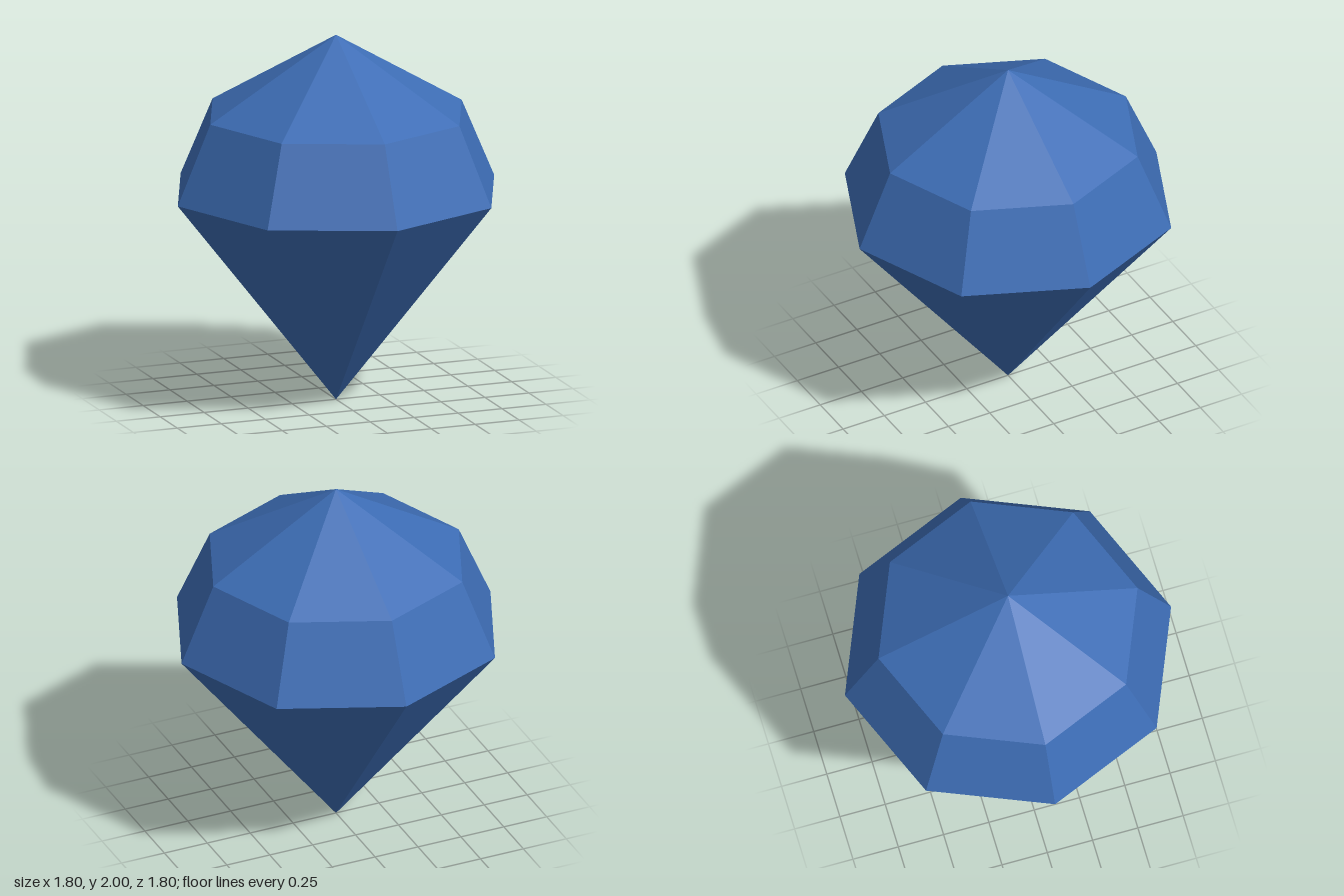
import * as THREE from 'three';

const SIDES = 8;

export function createModel() {
  const gem = new THREE.Group();
  gem.name = 'gem';

  const blue = new THREE.MeshStandardMaterial({ color: 0x3d6db5, flatShading: true });
  blue.name = 'sapphire blue';

  // One ring of facets between two heights
  function facets(name, bottomRadius, bottomY, topRadius, topY) {
    const geometry = new THREE.CylinderGeometry(topRadius, bottomRadius, topY - bottomY, SIDES, 1, true);
    const mesh = new THREE.Mesh(geometry, blue);
    mesh.name = name;
    mesh.position.y = (bottomY + topY) / 2;
    gem.add(mesh);
  }

  facets('pavilion', 0, 0, 0.9, 1.145); // lower point
  facets('crown', 0.9, 1.145, 0.715, 1.575); // sloped band above the girdle
  facets('cap', 0.715, 1.575, 0, 2); // shallow upper point

  return gem;
}
